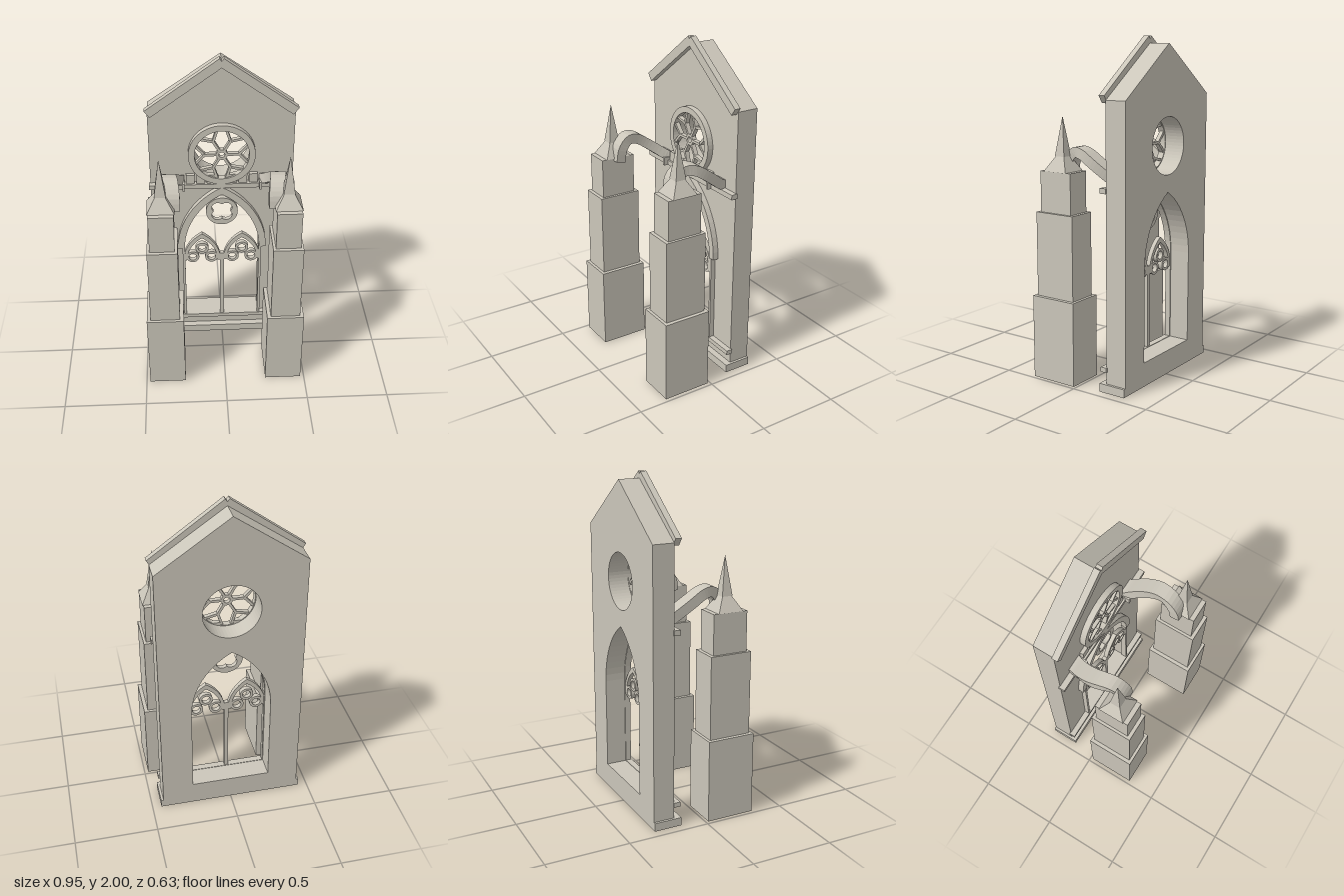
import * as THREE from 'three';

const mat = new THREE.MeshStandardMaterial({ color: 0xcbc6ba, flatShading: true });

function add(group, name, geo, x = 0, y = 0, z = 0) {
  const m = new THREE.Mesh(geo, mat);
  m.name = name;
  m.position.set(x, y, z);
  group.add(m);
  return m;
}

// Box given by its centre in x and its limits in y and z
const block = (g, name, x, w, y0, y1, z0, z1) =>
  add(g, name, new THREE.BoxGeometry(w, y1 - y0, z1 - z0), x, (y0 + y1) / 2, (z0 + z1) / 2);

// Flat shape extruded between two depths
const slab = (g, name, shape, z0, z1) =>
  add(g, name, new THREE.ExtrudeGeometry(shape, { depth: z1 - z0, bevelEnabled: false, curveSegments: 28 }), 0, 0, z0);

// Points of a pointed arch from its right springing over the apex to the left
function archPoints(cx, w, y, h, n = 12) {
  const R = (w * w + h * h) / (2 * w), a = Math.atan2(h, R - w), pts = [];
  for (let i = 0; i <= n; i++) {
    const t = (a * i) / n;
    pts.push(new THREE.Vector2(cx + w - R + R * Math.cos(t), y + R * Math.sin(t)));
  }
  for (let i = n - 1; i >= 0; i--) pts.push(new THREE.Vector2(2 * cx - pts[i].x, pts[i].y));
  return pts;
}

const archBand = (cx, y, w, h, w2, h2) =>
  new THREE.Shape([...archPoints(cx, w, y, h), ...archPoints(cx, w2, y, h2).reverse()]);

function ring(x, y, r, r2) {
  const s = new THREE.Shape().absarc(x, y, r, 0, Math.PI * 2);
  s.holes.push(new THREE.Path().absarc(x, y, r2, 0, Math.PI * 2, true));
  return s;
}

// Straight bar between two points in the window plane
function bar(g, name, ax, ay, bx, by, w, z0, z1) {
  const m = add(g, name, new THREE.BoxGeometry(Math.hypot(bx - ax, by - ay), w, z1 - z0),
    (ax + bx) / 2, (ay + by) / 2, (z0 + z1) / 2);
  m.rotation.z = Math.atan2(by - ay, bx - ax);
}

// Curved flying arch: rectangular sections swept from pier to wall
function flyerGeometry(s) {
  const curve = new THREE.CatmullRomCurve3([
    [0.294, 1.22, 0.165], [0.295, 1.30, 0.15], [0.305, 1.348, 0.1], [0.317, 1.342, 0.04],
    [0.318, 1.30, -0.03], [0.304, 1.25, -0.1], [0.285, 1.21, -0.155], [0.275, 1.195, -0.2],
  ].map(([x, y, z]) => new THREE.Vector3(x * s, y, z)));
  const n = 24, pos = [], idx = [];
  for (let i = 0; i <= n; i++) {
    const t = i / n, p = curve.getPoint(t), d = curve.getTangent(t);
    const k = 1 / Math.hypot(d.y, d.z), hw = 0.039 + 0.014 * t, ht = 0.03;
    for (const [a, b] of [[-1, -1], [1, -1], [1, 1], [-1, 1]])
      pos.push(p.x + a * hw, p.y - b * ht * d.z * k, p.z + b * ht * d.y * k);
    if (i < n) for (let j = 0; j < 4; j++) {
      const a = i * 4 + j, b = i * 4 + (j + 1) % 4;
      idx.push(a, a + 4, b, b, a + 4, b + 4);
    }
  }
  const e = n * 4;
  idx.push(0, 1, 2, 0, 2, 3, e, e + 2, e + 1, e, e + 3, e + 2);
  const geo = new THREE.BufferGeometry();
  geo.setAttribute('position', new THREE.Float32BufferAttribute(pos, 3));
  geo.setIndex(idx);
  const flat = geo.toNonIndexed();
  flat.computeVertexNormals();
  return flat;
}

// Four-sided pyramid with sides square to the axes
function pyramid(half, h) {
  const g = new THREE.ConeGeometry(half * Math.SQRT2, h, 4);
  g.rotateY(Math.PI / 4);
  return g.translate(0, h / 2, 0);
}

export function createModel() {
  const model = new THREE.Group();
  model.name = 'gothicFacade';
  const face = -0.185, back = -0.315, front = -0.15, roseY = 1.38;

  // Gabled wall with pointed window and round window openings
  const wall = new THREE.Shape();
  wall.moveTo(-0.43, 0).lineTo(0.43, 0).lineTo(0.43, 1.66).lineTo(0, 1.96).lineTo(-0.43, 1.66);
  const opening = [new THREE.Vector2(-0.24, 0.145), new THREE.Vector2(0.24, 0.145),
    ...archPoints(0, 0.24, 0.7, 0.41)];
  wall.holes.push(new THREE.Path(opening));
  wall.holes.push(new THREE.Path().absarc(0, roseY, 0.168, 0, Math.PI * 2, true));
  slab(model, 'wall', wall, back, face);

  // Horizontal mouldings
  block(model, 'plinth', 0, 0.89, 0, 0.05, back, -0.145);
  block(model, 'sillCourse', 0, 0.88, 0.12, 0.148, face - 0.005, front);
  block(model, 'stringCourse', 0, 0.88, 1.15, 1.18, face - 0.005, front);

  for (const s of [-1, 1]) {
    // Sloping gable coping
    const coping = add(model, 'gableCoping', new THREE.BoxGeometry(0.535, 0.053, 0.037),
      s * 0.213, 1.821, -0.168);
    coping.rotation.z = -s * 0.629;

    // Small blocks above the string course
    for (const x of [0.065, 0.127, 0.19])
      block(model, 'courseBlock', s * x, 0.052, 1.18, 1.24, face - 0.005, front - 0.012);
    block(model, 'flyerBracket', s * 0.232, 0.014, 1.15, 1.2, face, -0.125);

    // Stepped pier with cap and pinnacle
    const pier = new THREE.Group();
    pier.name = 'pier';
    pier.position.set(s * 0.365, 0, 0.165);
    model.add(pier);
    block(pier, 'pierBase', 0, 0.224, 0, 0.5, -0.148, 0.148);
    block(pier, 'pierMiddle', 0, 0.178, 0.5, 1, -0.13, 0.13);
    block(pier, 'pierTop', 0, 0.146, 1, 1.24, -0.108, 0.108);
    add(pier, 'pierCap', pyramid(0.079, 0.135), 0, 1.24, 0);
    add(pier, 'pinnacle', pyramid(0.033, 0.23), 0, 1.325, 0);

    add(model, 'flyingArch', flyerGeometry(s));

    // Lancet light with three small foil rings
    block(model, 'windowJamb', s * 0.242, 0.016, 0.145, 0.7, face - 0.005, -0.155);
    slab(model, 'lancetArch', archBand(s * 0.126, 0.6, 0.118, 0.205, 0.098, 0.172), face, -0.157);
    for (const [x, y] of [[0, 0.692], [-0.06, 0.625], [0.06, 0.625]])
      slab(model, 'foilRing', ring(s * 0.126 + x, y, 0.041, 0.025), face, -0.157);
  }

  // Main window arch, mullion and oculus
  slab(model, 'windowArch', archBand(0, 0.7, 0.278, 0.455, 0.235, 0.405), face - 0.005, front);
  block(model, 'mullion', 0, 0.024, 0.145, 0.65, face, -0.157);
  const oculus = new THREE.Shape().absarc(0, 0.975, 0.098, 0, Math.PI * 2);
  const foil = [];
  for (let i = 0; i < 48; i++) {
    const a = -(i / 48) * Math.PI * 2, r = 0.052 + 0.022 * Math.abs(Math.sin(2 * a));
    foil.push(new THREE.Vector2(r * Math.cos(a), 0.975 + r * Math.sin(a)));
  }
  oculus.holes.push(new THREE.Path(foil));
  slab(model, 'oculus', oculus, face, -0.157);

  // Rose window: rim, hub and six forked spokes
  slab(model, 'roseRim', ring(0, roseY, 0.2, 0.163), face - 0.005, front);
  slab(model, 'roseHub', ring(0, roseY, 0.034, 0.018), face, -0.157);
  for (let i = 0; i < 6; i++) {
    const a = (i * Math.PI) / 3;
    const at = (r, t) => [r * Math.cos(t), roseY + r * Math.sin(t)];
    bar(model, 'roseSpoke', ...at(0.028, a), ...at(0.108, a), 0.015, face, -0.157);
    for (const d of [-0.37, 0.37])
      bar(model, 'roseFork', ...at(0.102, a), ...at(0.17, a + d), 0.015, face, -0.158);
  }
  return model;
}
